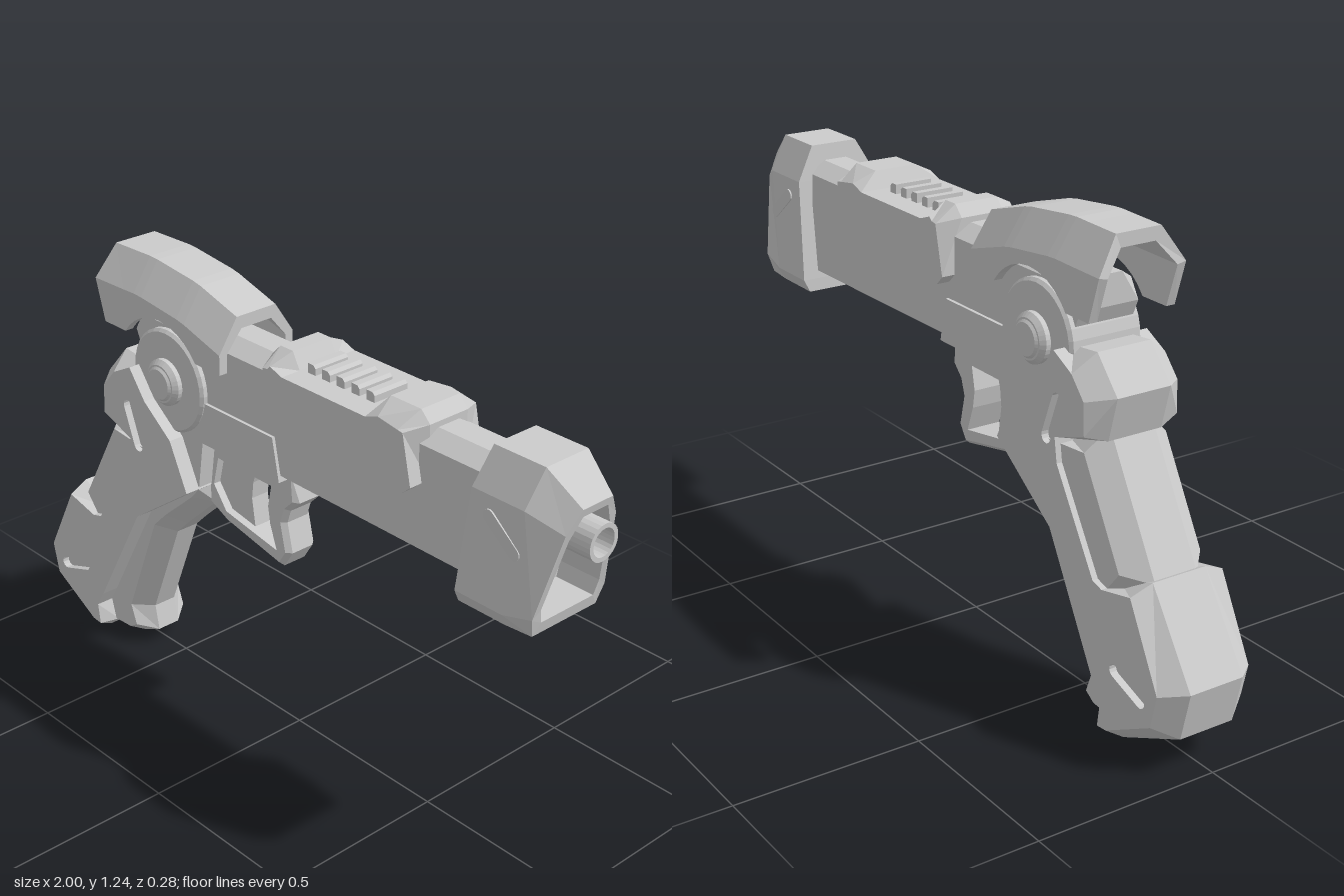
import * as THREE from 'three';

const V = (p) => new THREE.Vector2(p[0], p[1]);

function makeMesh(name, triangles) {
  const geo = new THREE.BufferGeometry();
  geo.setAttribute('position', new THREE.Float32BufferAttribute(triangles.flat(), 3));
  geo.computeVertexNormals();
  const mesh = new THREE.Mesh(geo, new THREE.MeshStandardMaterial({ color: 0xcccccc, flatShading: true }));
  mesh.name = name;
  return mesh;
}

const quad = (out, a, b, c, d) => out.push(a, b, c, a, c, d);

// Flat piece in the xy plane, mirrored in z. Points are [x, y, inset]: the inset pulls
// that corner inward on the side face, making a chamfer of the given depth.
function slab(name, points, half, depth = 0.03, holes = []) {
  let pts = points;
  if (THREE.ShapeUtils.isClockWise(pts.map(V))) pts = [...pts].reverse();
  const n = pts.length;
  const face = pts.map((p, i) => {
    const before = V(pts[(i + n - 1) % n]), after = V(pts[(i + 1) % n]), here = V(p);
    const d1 = here.clone().sub(before).normalize(), d2 = after.sub(here).normalize();
    const k = (p[2] || 0) / Math.max(0.35, 1 + d1.dot(d2));
    return [p[0] - (d1.y + d2.y) * k, p[1] + (d1.x + d2.x) * k];
  });
  const tris = [];
  const at = (p, z) => [p[0], p[1], z];
  const fill = (outline, cuts, z) => {
    const all = [...outline, ...cuts.flat()];
    for (const t of THREE.ShapeUtils.triangulateShape(outline.map(V), cuts.map((c) => c.map(V)))) {
      let [a, b, c] = t.map((i) => all[i]);
      if ((b[0] - a[0]) * (c[1] - a[1]) < (b[1] - a[1]) * (c[0] - a[0])) [b, c] = [c, b];
      tris.push(at(a, z), at(b, z), at(c, z));
    }
  };
  for (let i = 0; i < n; i++) {
    const j = (i + 1) % n, z = half - depth;
    quad(tris, at(pts[i], 0), at(pts[j], 0), at(pts[j], z), at(pts[i], z));
    quad(tris, at(pts[i], z), at(pts[j], z), at(face[j], half), at(face[i], half));
  }
  fill(face, holes.map((h) => h.outline), half);
  for (const { outline, cut } of holes) {
    const z = Math.max(0, half - cut);
    outline.forEach((p, i) => {
      const q = outline[(i + 1) % outline.length];
      quad(tris, at(p, half), at(q, half), at(q, z), at(p, z));
    });
    if (z > 0) fill(outline, [], z);
  }
  const count = tris.length;
  for (let i = 0; i < count; i += 3)
    for (const k of [0, 2, 1]) tris.push([tris[i + k][0], tris[i + k][1], -tris[i + k][2]]);
  return makeMesh(name, tris);
}

// Skin over rings of mirrored points placed along x, closed at both ends
function loft(name, rings) {
  const tris = [], n = rings[0].length;
  for (let r = 0; r + 1 < rings.length; r++)
    for (let i = 0; i < n; i++) {
      const j = (i + 1) % n;
      quad(tris, rings[r][i], rings[r][j], rings[r + 1][j], rings[r + 1][i]);
    }
  const first = rings[0], last = rings[rings.length - 1];
  for (let i = 0; i < n / 2 - 1; i++) {
    quad(tris, last[i], last[i + 1], last[n - 2 - i], last[n - 1 - i]);
    quad(tris, first[n - 1 - i], first[n - 2 - i], first[i + 1], first[i]);
  }
  return makeMesh(name, tris);
}

// Counter-clockwise capsule outline between two points
function capsule(x1, y1, x2, y2, r) {
  const a = Math.atan2(y2 - y1, x2 - x1), out = [];
  for (let i = 0; i < 14; i++) {
    const end = i < 7, t = a - Math.PI / 2 + (end ? i : i - 1) * Math.PI / 6;
    out.push([(end ? x2 : x1) + r * Math.cos(t), (end ? y2 : y1) + r * Math.sin(t)]);
  }
  return out;
}

const lerpTable = (table, x) => {
  let i = 0;
  while (i < table.length - 2 && x > table[i + 1][0]) i++;
  const [a, b] = [table[i], table[i + 1]];
  return THREE.MathUtils.mapLinear(x, a[0], b[0], a[1], b[1]);
};

function rearHood() {
  const top = [[-0.66, 1.24], [-0.5, 1.245], [-0.32, 1.225], [-0.165, 1.18]];
  const xs = [-0.645, -0.556];
  for (let i = 1; i < 12; i++) xs.push(-0.41 - 0.146 * Math.cos((i * Math.PI) / 12));
  xs.push(-0.264, -0.165);
  return loft('rearHood', xs.map((x, k) => {
    const t = lerpTable(top, x), dx = x + 0.41;
    // the lower edge arches over the pivot
    const bottom = Math.abs(dx) < 0.146 ? Math.max(1.035, 0.93 + Math.sqrt(0.0324 - dx * dx)) : 1.035;
    const lean = k === 0 ? [0, -0.035, -0.015] : [0, 0, 0];
    const outer = [[bottom, 0.125], [t - 0.09, 0.125], [t, 0.065]].map(([y, z], i) => [x + lean[i], y, z]);
    const inner = [[bottom, 0.1], [t - 0.095, 0.1], [t - 0.035, 0.05]].map(([y, z], i) => [x + lean[i], y, z]);
    const flip = (list) => list.map(([a, b, c]) => [a, b, -c]);
    return [...flip(outer), ...[...outer].reverse(), ...inner, ...flip(inner).reverse()];
  }));
}

function muzzle() {
  const ring = (half) => [...half, ...[...half].reverse().map(([x, y, z]) => [x, y, -z])];
  const body = (xs) => [[1.155, 0.07], [1.06, 0.122], [0.78, 0.132], [0.745, 0.115]].map(([y, z], i) => [xs[i], y, z]);
  const rim = [[0.975, 1.08, 0.05], [0.96, 1.02, 0.085], [0.915, 0.8, 0.125], [0.905, 0.747, 0.11]];
  const lip = [[0.97, 1.058, 0.042], [0.957, 1.0, 0.07], [0.918, 0.82, 0.1], [0.912, 0.78, 0.09]];
  const floor = lip.map(([, y, z]) => [0.8, y, z]);
  return loft('muzzleShroud', [body([0.725, 0.712, 0.682, 0.68]), body([0.88, 0.87, 0.83, 0.825]), rim, lip, floor].map(ring));
}

function cylinder(name, radius, halfLength, x, y, bevel) {
  const pts = [[0, -halfLength], [radius - bevel, -halfLength], [radius, bevel - halfLength],
    [radius, halfLength - bevel], [radius - bevel, halfLength], [0, halfLength]];
  const mesh = new THREE.Mesh(new THREE.LatheGeometry(pts.map(V), 32).toNonIndexed(),
    new THREE.MeshStandardMaterial({ color: 0xcccccc, flatShading: true }));
  mesh.rotation.x = Math.PI / 2;
  mesh.position.set(x, y, 0);
  mesh.name = name;
  return mesh;
}

export function createModel() {
  const g = new THREE.Group();
  g.name = 'sciFiPistol';

  // Receiver and barrel housing
  g.add(slab('barrelHousing', [[-0.56, 1.11, 0.03], [-0.56, 1.03], [-0.52, 0.94], [-0.45, 0.8, 0.01],
    [0.73, 0.79, 0.012], [0.73, 1.11, 0.03]], 0.085, 0.05));
  g.add(slab('lowerFrame', [[-0.42, 0.91], [0, 0.91], [0.025, 0.79], [-0.28, 0.79], [-0.3, 0.65],
    [-0.45, 0.65]], 0.094, 0.02));
  g.add(cylinder('pivotBoss', 0.145, 0.105, -0.41, 0.93, 0.008));
  g.add(cylinder('pivotCollar', 0.065, 0.13, -0.41, 0.93, 0.012));
  g.add(cylinder('pivotPin', 0.048, 0.136, -0.41, 0.93, 0.006));
  g.add(rearHood());

  // Top cover with ribs in its recess
  g.add(slab('topCover', [[-0.03, 0.98], [-0.005, 0.955], [0.49, 0.955], [0.52, 0.98],
    [0.52, 1.125, 0.03], [0.49, 1.155, 0.04], [0.39, 1.155, 0.03], [0.365, 1.11], [0.07, 1.11],
    [0.045, 1.155, 0.03], [0, 1.155, 0.04], [-0.03, 1.125, 0.03]], 0.123, 0.06));
  for (let i = 0; i < 5; i++) {
    const x = 0.105 + i * 0.052;
    g.add(slab('coverRib', [[x - 0.014, 1.09], [x + 0.014, 1.09], [x + 0.014, 1.128], [x + 0.006, 1.136],
      [x - 0.014, 1.136]], 0.055, 0.01));
  }

  // Muzzle and inner barrel
  g.add(muzzle());
  g.add(slab('muzzleInlay', capsule(0.77, 1.01, 0.85, 0.945, 0.017), 0.128, 0.003));
  const tube = [[0.036, 0.82], [0.036, 1], [0.048, 1], [0.048, 0.78]].reverse().map(V);
  const barrel = new THREE.Mesh(new THREE.LatheGeometry(tube, 24).toNonIndexed(),
    new THREE.MeshStandardMaterial({ color: 0xcccccc, flatShading: true, side: THREE.DoubleSide }));
  barrel.rotation.z = -Math.PI / 2;
  barrel.position.y = 0.99;
  barrel.name = 'innerBarrel';
  g.add(barrel);

  // Grip shell, recessed back panel and finger strap
  const slot = (...args) => ({ outline: capsule(...args), cut: 0.02 });
  g.add(slab('gripShell', [[-0.53, 0.94], [-0.62, 0.95, 0.045], [-0.7, 0.86, 0.045], [-0.67, 0.745, 0.02],
    [-0.54, 0.725], [-0.55, 0.66], [-0.7, 0.415], [-0.735, 0.405], [-0.85, 0.455, 0.02],
    [-1, 0.23, 0.045], [-0.97, 0.1, 0.045], [-0.76, 0, 0.035], [-0.72, 0.035, 0.01], [-0.74, 0.1],
    [-0.71, 0.15], [-0.525, 0.485], [-0.3, 0.645], [-0.365, 0.78], [-0.47, 0.86]], 0.138, 0.06,
  [slot(-0.545, 0.82, -0.505, 0.715, 0.018), slot(-0.89, 0.18, -0.79, 0.215, 0.017)]));
  g.add(slab('gripBackPanel', [[-0.655, 0.77, 0.045], [-0.84, 0.44, 0.045], [-0.7, 0.36], [-0.48, 0.7]], 0.122, 0.06));
  g.add(slab('fingerStrap', [[-0.3, 0.645, 0.01], [-0.3, 0.585, 0.04], [-0.43, 0.465, 0.045], [-0.475, 0.42, 0.045],
    [-0.595, 0.12, 0.045], [-0.58, 0.045, 0.035], [-0.65, 0.012, 0.03], [-0.72, 0.04],
    [-0.75, 0.15], [-0.58, 0.5], [-0.42, 0.68]], 0.088, 0.053));

  // Trigger and its guard
  const opening = [[-0.29, 0.65], [-0.24, 0.585], [-0.035, 0.55], [-0.06, 0.62], [-0.068, 0.67], [-0.055, 0.735], [-0.27, 0.735]];
  g.add(slab('triggerGuard', [[-0.33, 0.8], [0.02, 0.8], [0.04, 0.715, 0.012], [0.005, 0.68, 0.012], [-0.008, 0.64, 0.012],
    [0.012, 0.555, 0.012], [-0.02, 0.505, 0.012], [-0.24, 0.55, 0.012], [-0.31, 0.585, 0.01], [-0.33, 0.66]], 0.05, 0.015,
  [{ outline: opening, cut: 0.05 }]));
  g.add(slab('trigger', [[-0.29, 0.75], [-0.135, 0.75], [-0.152, 0.7], [-0.158, 0.65], [-0.145, 0.565],
    [-0.24, 0.575], [-0.3, 0.65]], 0.028, 0.008));
  return g;
}
